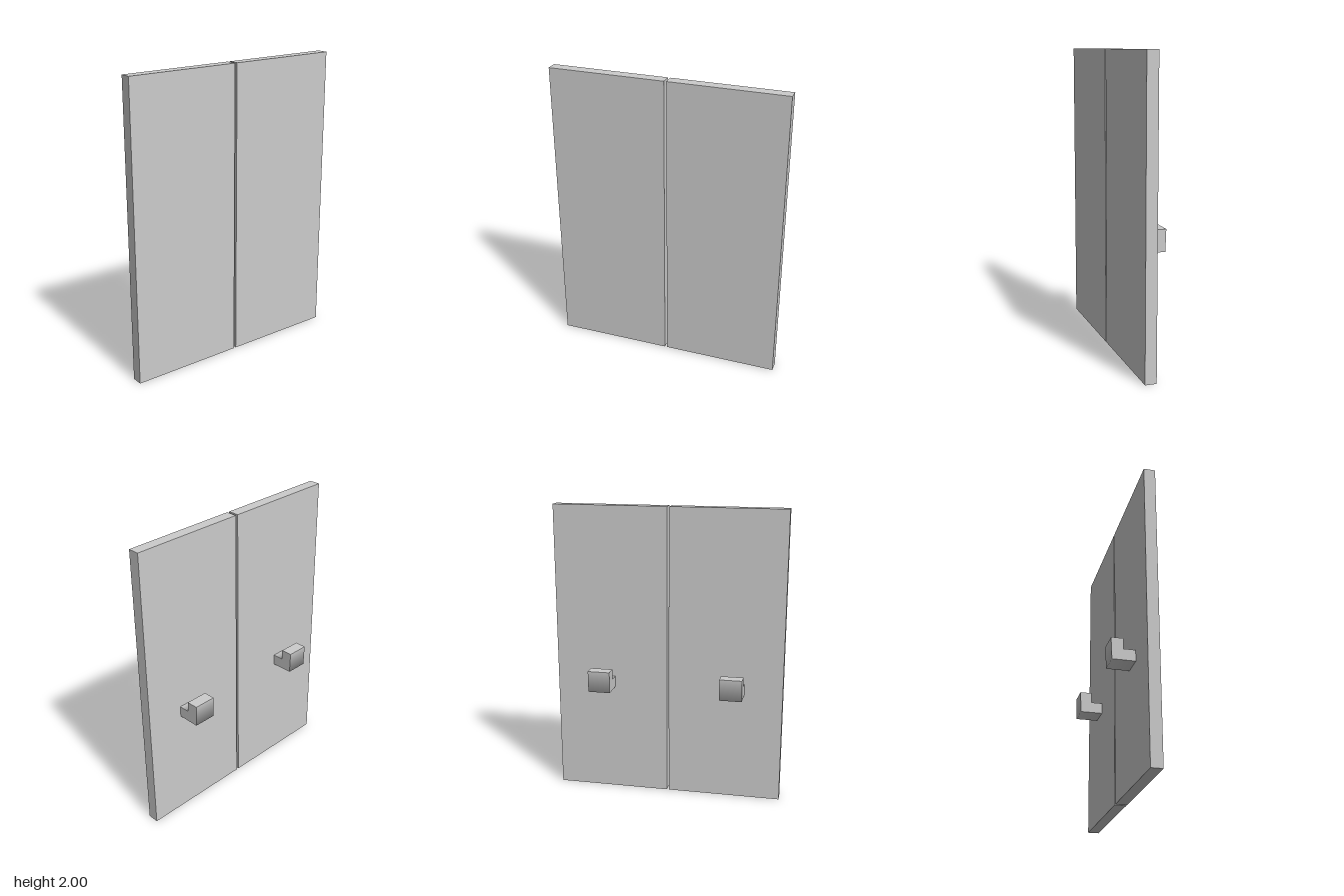
import * as THREE from 'three';

const material = new THREE.MeshStandardMaterial({ color: 0xcccccc });

// Hook cross-section as [z, y]: an arm reaching back with an upturned lip
const profile = [
  [0.04, 0.751], [0.04, 0.826], [-0.036, 0.826],
  [-0.036, 0.897], [-0.115, 0.897], [-0.11, 0.751],
];
// Corners whose shading blends from one side to the next
const softCorners = [
  { at: profile[2], normal: new THREE.Vector3(0, 1, 1).normalize() },
  { at: profile[5], normal: new THREE.Vector3(0, -1, -1).normalize() },
];

function hookGeometry(width) {
  const shape = new THREE.Shape(profile.map(([z, y]) => new THREE.Vector2(z, y)));
  const geo = new THREE.ExtrudeGeometry(shape, { depth: width, bevelEnabled: false });
  geo.translate(0, 0, -width / 2).rotateY(-Math.PI / 2);
  const { position, normal } = geo.attributes;
  for (let i = 0; i < position.count; i++) {
    if (Math.abs(normal.getX(i)) > 0.5) continue; // keep the end caps flat
    for (const { at, normal: n } of softCorners) {
      if (Math.hypot(position.getZ(i) - at[0], position.getY(i) - at[1]) < 1e-4) {
        normal.setXYZ(i, n.x, n.y, n.z);
      }
    }
  }
  return geo;
}

export function createModel() {
  const group = new THREE.Group();
  const panelGeo = new THREE.BoxGeometry(0.776, 2, 0.075);
  const hookGeo = hookGeometry(0.151);

  for (const [side, s] of [['left', 1], ['right', -1]]) {
    // Door panel, with a narrow gap at the middle
    const panel = new THREE.Mesh(panelGeo, material);
    panel.name = side + 'Panel';
    panel.position.set(s * 0.396, 1, 0.0775);

    // Hook on the back of the panel
    const hook = new THREE.Mesh(hookGeo, material);
    hook.name = side + 'Hook';
    hook.position.x = s * 0.45;

    group.add(panel, hook);
  }
  return group;
}
